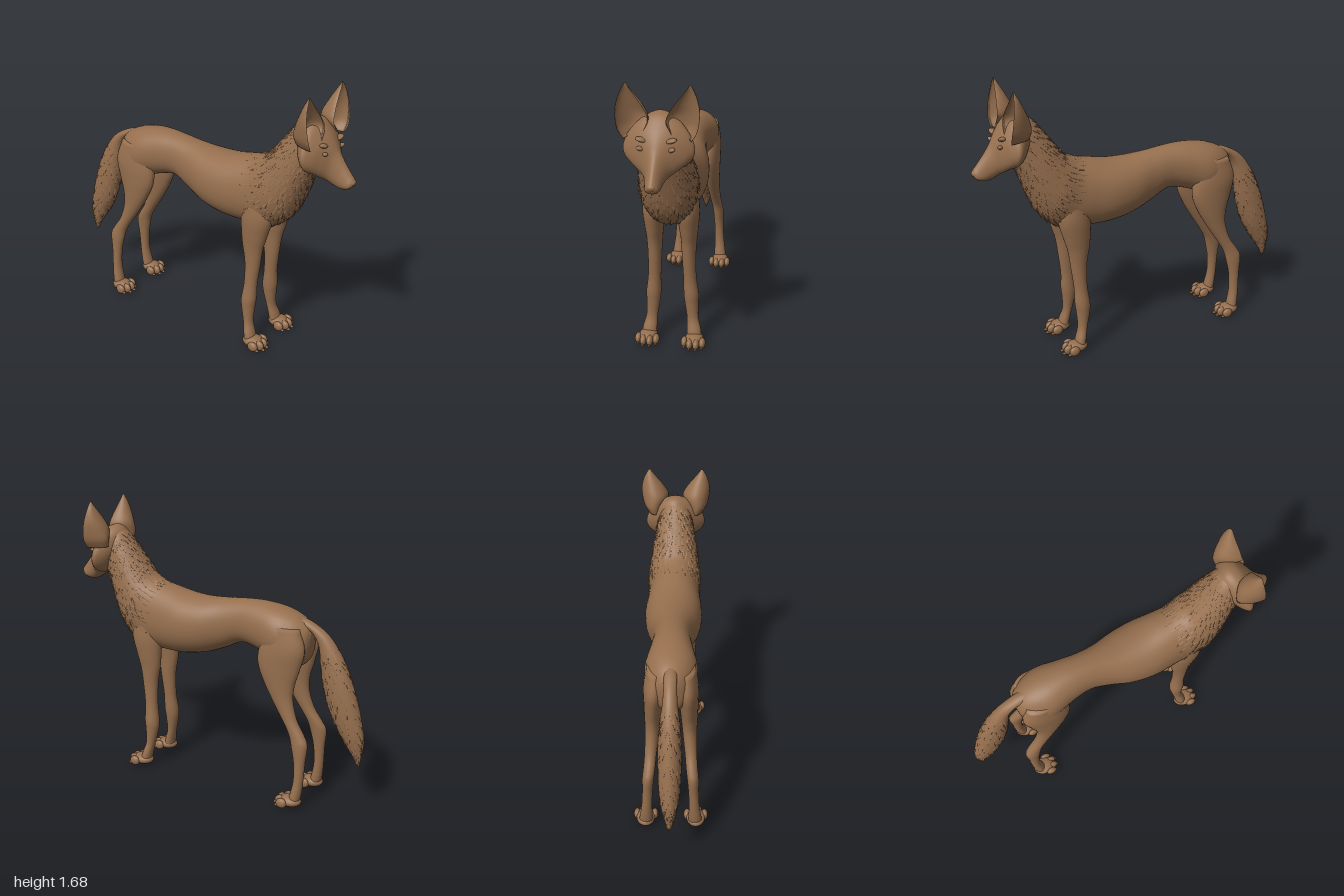
import * as THREE from 'three';
import { mergeGeometries } from 'three/addons/utils/BufferGeometryUtils.js';

const V = (x, y, z) => new THREE.Vector3(x, y, z);

// Surface through rings. Section: [xA, yA, xB, yB, halfWidth, z], where A and B
// are opposite points of the ring in profile. Returns a sampler (t, angle) -> point.
function surface(sections, { power = 1, bias = 0, side = 1, cup = false } = {}) {
  const curveA = new THREE.CatmullRomCurve3(sections.map(s => V(s[0], s[1], (s[5] || 0) * side)), false, 'catmullrom', 0.5);
  const curveB = new THREE.CatmullRomCurve3(sections.map(s => V(s[2], s[3], s[4])), false, 'catmullrom', 0.5);
  const bend = v => Math.sign(v) * Math.abs(v) ** power;
  return (t, angle) => {
    const a = curveA.getPoint(t), b = curveB.getPoint(t);
    let u = bend(Math.cos(angle));
    const v = bend(Math.sin(angle));
    if (cup) u = u > 0 ? 2 * u - 1 : -1 - 1.45 * u;
    else u -= bias * (1 - u * u);
    const k = (u + 1) / 2;
    return V(b.x + (a.x - b.x) * k, b.y + (a.y - b.y) * k, a.z + Math.max(b.z, 0.002) * v);
  };
}

function skin(sample, rows, cols) {
  const pos = [], idx = [];
  const add = p => pos.push(p.x, p.y, p.z);
  for (let i = 0; i <= rows; i++)
    for (let j = 0; j < cols; j++) add(sample(i / rows, j / cols * Math.PI * 2));
  for (let i = 0; i < rows; i++)
    for (let j = 0; j < cols; j++) {
      const a = i * cols + j, b = i * cols + (j + 1) % cols;
      idx.push(a, b, a + cols, b, b + cols, a + cols);
    }
  // End caps
  const n = pos.length / 3, last = rows * cols;
  add(sample(0, 0).add(sample(0, Math.PI)).multiplyScalar(0.5));
  add(sample(1, 0).add(sample(1, Math.PI)).multiplyScalar(0.5));
  for (let j = 0; j < cols; j++) {
    const k = (j + 1) % cols;
    idx.push(n, k, j, n + 1, last + j, last + k);
  }
  const g = new THREE.BufferGeometry();
  g.setAttribute('position', new THREE.Float32BufferAttribute(pos, 3));
  g.setIndex(idx);
  g.computeVertexNormals();
  return g;
}

// Flat pointed locks lying on a surface, all combed one way
function locks(sample, { from, to, rows, perRow, way, length, width, lift, seed }) {
  const rnd = () => (seed = (seed * 16807) % 2147483647) / 2147483647;
  const list = [];
  for (let i = 0; i < rows; i++)
    for (let j = 0; j < perRow; j++) {
      const t = from + (to - from) * (i + rnd() * 0.8) / rows;
      const a = (j + (i % 2) / 2 + rnd() * 0.5) / perRow * Math.PI * 2;
      const p = sample(t, a);
      const along = sample(t + 0.004, a).sub(sample(t - 0.004, a)).normalize();
      const around = sample(t, a + 0.02).sub(sample(t, a - 0.02)).normalize();
      const normal = around.clone().cross(along).normalize();
      const y = along.multiplyScalar(way).addScaledVector(normal, lift).normalize();
      const x = y.clone().cross(normal).normalize();
      const z = x.clone().cross(y);
      const len = length * (0.7 + 0.6 * rnd());
      const cone = new THREE.ConeGeometry(width, len, 6, 1, true);
      cone.scale(1, 1, 0.4).translate(0, len * 0.3, 0);
      p.addScaledVector(normal, -0.005);
      cone.applyMatrix4(new THREE.Matrix4().makeBasis(x, y, z).setPosition(p));
      list.push(cone);
    }
  return mergeGeometries(list);
}

const TRUNK = [
  [-0.645, 1.06, -0.645, 0.98, 0.03], [-0.62, 1.1, -0.625, 0.88, 0.08],
  [-0.55, 1.145, -0.55, 0.83, 0.13], [-0.45, 1.175, -0.45, 0.85, 0.15],
  [-0.32, 1.19, -0.32, 0.9, 0.125], [-0.2, 1.185, -0.2, 0.92, 0.11],
  [-0.08, 1.172, -0.08, 0.865, 0.125], [0.05, 1.162, 0.05, 0.815, 0.16],
  [0.18, 1.168, 0.2, 0.787, 0.175], [0.29, 1.19, 0.36, 0.785, 0.165],
  [0.38, 1.212, 0.48, 0.785, 0.16], [0.45, 1.245, 0.585, 0.855, 0.165],
  [0.5, 1.3, 0.65, 0.94, 0.155], [0.555, 1.37, 0.7, 1.06, 0.14],
  [0.61, 1.44, 0.745, 1.18, 0.12], [0.67, 1.5, 0.78, 1.26, 0.1], [0.73, 1.5, 0.8, 1.3, 0.06]];
const HEAD = [
  [0.64, 1.47, 0.69, 1.32, 0.07], [0.695, 1.525, 0.735, 1.245, 0.145],
  [0.76, 1.522, 0.775, 1.225, 0.188], [0.82, 1.467, 0.8, 1.22, 0.16],
  [0.86, 1.412, 0.825, 1.2, 0.112], [0.89, 1.36, 0.85, 1.185, 0.074],
  [0.93, 1.305, 0.88, 1.168, 0.053], [0.97, 1.255, 0.92, 1.158, 0.043],
  [0.992, 1.228, 0.962, 1.165, 0.035], [0.998, 1.208, 0.985, 1.182, 0.02]];
const EAR = [
  [0.7, 1.41, 0.82, 1.4, 0.045, 0.13], [0.69, 1.46, 0.825, 1.445, 0.066, 0.137],
  [0.7, 1.52, 0.82, 1.5, 0.085, 0.13], [0.728, 1.58, 0.812, 1.56, 0.073, 0.143],
  [0.757, 1.635, 0.802, 1.62, 0.044, 0.158], [0.776, 1.668, 0.797, 1.66, 0.02, 0.164],
  [0.787, 1.687, 0.792, 1.686, 0.004, 0.165]];
const TAIL = [
  [-0.59, 1.05, -0.56, 1.135, 0.04], [-0.64, 1.055, -0.64, 1.11, 0.036],
  [-0.685, 0.985, -0.745, 1.045, 0.04], [-0.705, 0.87, -0.835, 0.925, 0.055],
  [-0.73, 0.73, -0.905, 0.77, 0.066], [-0.78, 0.58, -0.957, 0.6, 0.064],
  [-0.845, 0.465, -0.985, 0.46, 0.05], [-0.915, 0.365, -0.975, 0.355, 0.026],
  [-0.953, 0.3, -0.961, 0.297, 0.004]];
const FORELEG = [
  [0.51, 1.02, 0.36, 0.98, 0.055, 0.095], [0.54, 0.88, 0.34, 0.86, 0.065, 0.098],
  [0.51, 0.75, 0.343, 0.76, 0.055, 0.1], [0.485, 0.66, 0.35, 0.68, 0.046, 0.1],
  [0.47, 0.55, 0.37, 0.56, 0.04, 0.1], [0.455, 0.42, 0.372, 0.42, 0.038, 0.105],
  [0.455, 0.32, 0.36, 0.31, 0.044, 0.112], [0.448, 0.25, 0.365, 0.25, 0.04, 0.115],
  [0.445, 0.16, 0.385, 0.16, 0.034, 0.122], [0.465, 0.09, 0.4, 0.09, 0.042, 0.132],
  [0.48, 0.035, 0.41, 0.03, 0.045, 0.136]];
const HINDLEG = [
  [-0.4, 1.09, -0.6, 1.08, 0.05, 0.085], [-0.355, 0.95, -0.64, 0.96, 0.063, 0.093],
  [-0.35, 0.85, -0.615, 0.84, 0.057, 0.1], [-0.39, 0.75, -0.587, 0.74, 0.05, 0.104],
  [-0.455, 0.64, -0.583, 0.65, 0.042, 0.108], [-0.535, 0.52, -0.615, 0.54, 0.035, 0.116],
  [-0.575, 0.45, -0.67, 0.455, 0.034, 0.123], [-0.595, 0.38, -0.694, 0.4, 0.034, 0.13],
  [-0.615, 0.29, -0.685, 0.29, 0.03, 0.135], [-0.62, 0.18, -0.68, 0.18, 0.031, 0.14],
  [-0.605, 0.09, -0.672, 0.09, 0.038, 0.145], [-0.59, 0.035, -0.66, 0.03, 0.042, 0.148]];

export function createModel() {
  const model = new THREE.Group();
  const fur = new THREE.MeshStandardMaterial({ color: 0x966f4e });
  fur.name = 'brown fur';
  const put = (name, geometry, parent = model) => {
    const mesh = new THREE.Mesh(geometry, fur);
    mesh.name = name;
    parent.add(mesh);
    return mesh;
  };
  const blob = (name, p, r, parent, turn = [0, 0, 0]) => {
    const mesh = put(name, new THREE.SphereGeometry(1, 20, 14), parent);
    mesh.position.set(...p);
    mesh.scale.set(...r);
    mesh.rotation.set(...turn);
  };

  // Trunk, neck, head and tail
  const trunk = surface(TRUNK, { power: 0.93 });
  const tail = surface(TAIL);
  put('trunkAndNeck', skin(trunk, 96, 40));
  put('head', skin(surface(HEAD, { power: 1.08, bias: 0.22 }), 60, 40));
  put('tail', skin(tail, 60, 24));
  blob('nose', [0.985, 1.208, 0], [0.016, 0.018, 0.023]);

  // Shaggy mane and tail fur
  put('mane', locks(trunk, { from: 0.62, to: 0.93, rows: 17, perRow: 22, way: -1, length: 0.07, width: 0.017, lift: 0.16, seed: 11 }));
  put('tailFur', locks(tail, { from: 0.3, to: 0.93, rows: 16, perRow: 11, way: 1, length: 0.075, width: 0.016, lift: 0.16, seed: 29 }));

  // Paw: pad body and four toes
  const paw = (name, x, z, parent) => {
    const foot = new THREE.Group();
    foot.name = name;
    foot.position.set(x, 0, z);
    parent.add(foot);
    blob('instep', [0, 0.043, 0], [0.07, 0.034, 0.056], foot);
    [-0.053, -0.019, 0.019, 0.053].forEach((dz, i) => {
      const reach = i === 1 || i === 2 ? 0.055 : 0.032;
      blob('toe', [reach, 0.038, dz], [0.034, 0.031, 0.02], foot);
      blob('claw', [reach + 0.027, 0.02, dz], [0.018, 0.01, 0.007], foot);
    });
  };

  for (const [label, side] of [['left', -1], ['right', 1]]) {
    const half = new THREE.Group();
    half.name = label + 'SideParts';
    model.add(half);
    put('ear', skin(surface(EAR, { side, cup: true }), 30, 32), half);
    put('foreleg', skin(surface(FORELEG, { side }), 60, 24), half);
    put('hindLeg', skin(surface(HINDLEG, { side }), 60, 24), half);
    paw('forepaw', 0.465, 0.138 * side, half);
    paw('hindPaw', -0.605, 0.15 * side, half);
    // Brow ridge and closed eyelid
    blob('brow', [0.832, 1.405, 0.07 * side], [0.024, 0.013, 0.042], half, [-0.3 * side, 0.5 * side, 0]);
    blob('eyelid', [0.848, 1.362, 0.076 * side], [0.016, 0.012, 0.03], half, [-0.35 * side, 0.6 * side, 0]);
  }
  return model;
}
